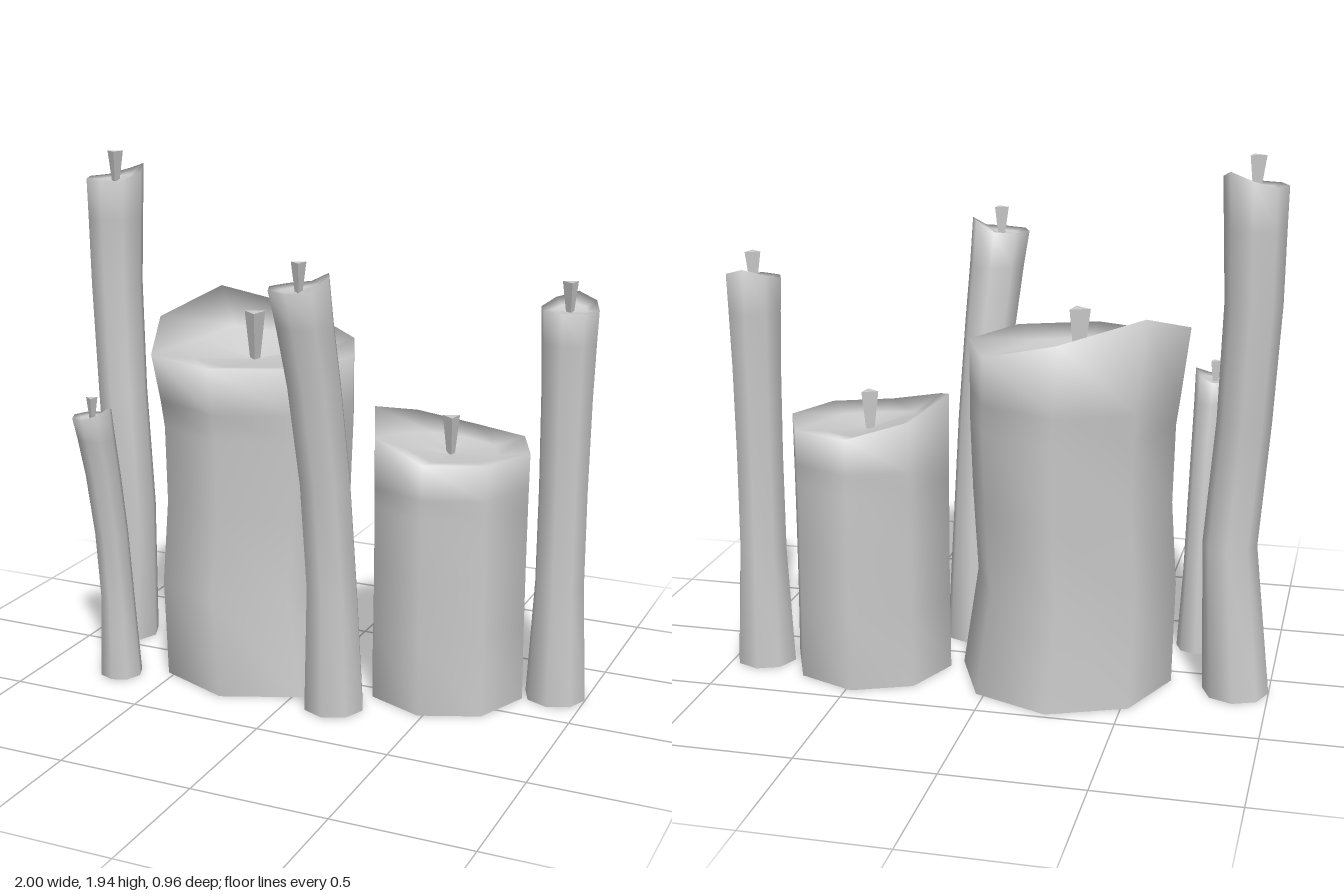
import * as THREE from 'three';

const SIDES = 8;
const wax = new THREE.MeshStandardMaterial({ color: 0xcccccc, side: THREE.DoubleSide });
const wickMaterial = new THREE.MeshStandardMaterial({ color: 0xcccccc, flatShading: true });

// Smooth eight-sided surface through rings { x, z, r, y(angle) }.
function loft(rings) {
  const positions = [];
  const index = [];
  rings.forEach(({ x, z, r, y }, k) => {
    for (let i = 0; i < SIDES; i++) {
      const a = (i / SIDES) * Math.PI * 2;
      positions.push(x + r * Math.cos(a), y(a), z + r * Math.sin(a));
      if (k === 0) continue;
      const j = (i + 1) % SIDES;
      const low = (k - 1) * SIDES;
      const high = k * SIDES;
      if (r > 0) index.push(low + i, high + i, high + j);
      index.push(low + i, high + j, low + j);
    }
  });
  const geometry = new THREE.BufferGeometry();
  geometry.setAttribute('position', new THREE.Float32BufferAttribute(positions, 3));
  geometry.setIndex(index);
  geometry.computeVertexNormals();
  return geometry;
}

function addMesh(group, name, geometry, material) {
  const mesh = new THREE.Mesh(geometry, material);
  mesh.name = name;
  group.add(mesh);
  return mesh;
}

// foot and top are [x, z, radius]; the rim climbs from low by rise towards the angle peak.
function candle(name, { foot, top, low, rise, peak, wick, waist = 0.86, neck = 0.92, sway = [0, 0] }) {
  const group = new THREE.Group();
  group.name = name;
  const [footX, footZ, footR] = foot;
  const [topX, topZ, topR] = top;
  const rimHeight = (a) => low + rise * Math.max(0, Math.cos(a - peak)) ** 2;
  const topRing = (r, y) => ({ x: topX, z: topZ, r, y });

  // open-bottomed column: leans progressively, narrows above the foot, flares at the rim
  const column = [0, 0.3, 0.55, 0.78, neck].map((t) => {
    const lean = t ** 2.2;
    const bend = Math.sin(1.7 * Math.PI * t) * (1 - t);
    const waistR = topR * waist;
    const spread = Math.max(0, 1 - t / 0.4) ** 2;
    const flare = Math.max(0, (t - 0.55) / 0.45) ** 2;
    return {
      x: footX + (topX - footX) * lean + sway[0] * bend,
      z: footZ + (topZ - footZ) * lean + sway[1] * bend,
      r: waistR + (footR - waistR) * spread + (topR - waistR) * flare,
      y: () => low * t,
    };
  });

  // uneven rim running smoothly into a hollow pool
  const floor = low - topR * 0.12;
  const pool = [
    topRing(topR, rimHeight),
    topRing(topR * 0.6, (a) => floor + (rimHeight(a) - floor) * 0.4),
    topRing(0, () => floor),
  ];
  addMesh(group, 'waxColumn', loft([...column, ...pool]), wax);

  // three-sided wick, wider at the top
  const length = low + wick - floor;
  const stem = addMesh(group, 'wick', new THREE.CylinderGeometry(wick * 0.34, wick * 0.17, length, 3), wickMaterial);
  stem.position.set(topX, floor + length / 2, topZ);
  stem.rotation.y = 0.4;
  return group;
}

export function createModel() {
  const model = new THREE.Group();
  model.name = 'candleCluster';
  const back = Math.PI * 1.5;
  const right = Math.PI;

  model.add(
    candle('largePillarCandle', {
      foot: [-0.248, -0.085, 0.393], top: [-0.28, -0.08, 0.4],
      low: 1.25, rise: 0.16, peak: (back + right) / 2, wick: 0.13, waist: 0.92, neck: 0.86, sway: [-0.04, 0.02],
    }),
    candle('shortPillarCandle', {
      foot: [0.482, -0.137, 0.3], top: [0.482, -0.137, 0.3],
      low: 0.945, rise: 0.11, peak: right, wick: 0.105, waist: 0.99, neck: 0.86,
    }),
    candle('tallRightTaper', {
      foot: [-0.88, -0.12, 0.12], top: [-0.89, -0.13, 0.112],
      low: 1.84, rise: 0.05, peak: back + 0.8, wick: 0.1, sway: [0.058, 0.035],
    }),
    candle('smallFrontTaper', {
      foot: [-0.695, 0.26, 0.08], top: [-0.72, 0.37, 0.073],
      low: 1.04, rise: 0.04, peak: 0, wick: 0.07,
    }),
    candle('leaningFrontTaper', {
      foot: [0.17, 0.205, 0.115], top: [0.107, 0.367, 0.11],
      low: 1.575, rise: 0.055, peak: -0.4, wick: 0.09,
    }),
    candle('farLeftTaper', {
      foot: [0.885, -0.215, 0.114], top: [0.885, -0.212, 0.105],
      low: 1.465, rise: 0.045, peak: back, wick: 0.095,
    }),
  );
  return model;
}
